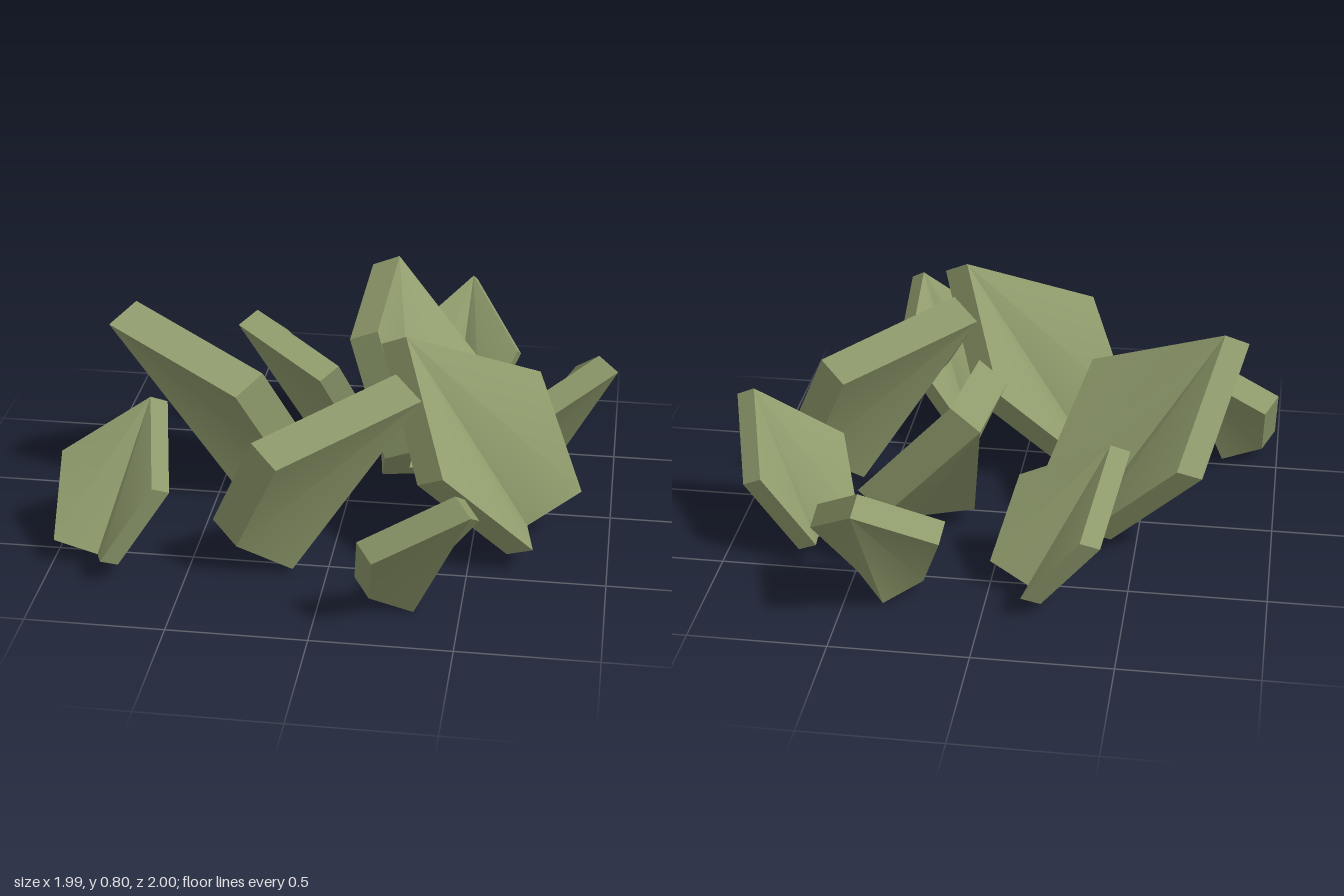
import * as THREE from 'three';
import { toCreasedNormals } from 'three/addons/utils/BufferGeometryUtils.js';

// Thick leaf folded along its midrib: x across, y from stem to tip, z out of the fold
function leafGeometry(thickness = 0.135) {
  const outline = [
    [0, 0.855, 0],          // tip
    [-0.334, 0.438, 0.142], // shoulder
    [-0.175, 0, 0.157],     // lower corner
    [0, 0, 0],              // stem end of the midrib
    [0.175, 0, 0.157],
    [0.334, 0.438, 0.142],
  ];
  const positions = [];
  const point = (i, back) => {
    const [x, y, z] = outline[i % 6];
    return [x, y, z - (back ? thickness : 0)];
  };
  // upper and under faces
  for (const [a, b, c] of [[0, 1, 2], [0, 2, 3], [0, 3, 4], [0, 4, 5]]) {
    positions.push(...point(a), ...point(b), ...point(c));
    positions.push(...point(a, true), ...point(c, true), ...point(b, true));
  }
  // rim
  for (let i = 0; i < 6; i++) {
    const a = point(i), b = point(i + 1), c = point(i + 1, true), d = point(i, true);
    positions.push(...a, ...d, ...c, ...a, ...c, ...b);
  }
  const geometry = new THREE.BufferGeometry();
  geometry.setAttribute('position', new THREE.Float32BufferAttribute(positions, 3));
  return toCreasedNormals(geometry, THREE.MathUtils.degToRad(34));
}

// Each leaf: tip, stem point, direction the fold opens toward
const largeLeaves = [
  { tip: [0.24, 0.80, 0.52], stem: [-0.22, 0.08, 0.49], open: [-0.10, 0.06, -0.07] },
  { tip: [-0.79, 0.80, 0.02], stem: [-0.33, 0.08, -0.07], open: [0.09, 0.065, -0.08] },
  { tip: [0.12, 0.76, -0.62], stem: [0.23, 0.13, -0.06], open: [0.10, 0.06, 0.04] },
  { tip: [0.24, 0.80, 0.21], stem: [0.70, 0.08, 0.24], open: [0.10, 0.06, 0.07] },
];
const smallLeaves = [
  { tip: [-0.67, 0.57, 0.35], stem: [-0.83, 0.05, 0.61], open: [-0.045, 0.045, 0.065] },
  { tip: [-0.42, 0.57, -0.46], stem: [-0.15, 0.05, -0.59], open: [0.068, 0.045, -0.05] },
  { tip: [0.39, 0.57, -0.92], stem: [0.35, 0.05, -0.62], open: [-0.01, 0.045, 0.08] },
  { tip: [0.92, 0.57, -0.21], stem: [0.67, 0.05, -0.36], open: [-0.075, 0.045, -0.038] },
  { tip: [0.49, 0.57, 0.94], stem: [0.28, 0.05, 0.71], open: [-0.055, 0.045, -0.055] },
];

export function createModel() {
  const group = new THREE.Group();
  group.name = 'leafCluster';
  const leafGreen = new THREE.MeshStandardMaterial({ color: 0x929e6e });
  leafGreen.name = 'leafGreen';
  const geometry = leafGeometry();

  const addLeaf = (name, { tip, stem, open }, scale) => {
    const base = new THREE.Vector3(...stem);
    const along = new THREE.Vector3(...tip).sub(base).normalize();
    const out = new THREE.Vector3(...open);
    out.addScaledVector(along, -out.dot(along)).normalize();
    const across = along.clone().cross(out);
    const leaf = new THREE.Mesh(geometry, leafGreen);
    leaf.name = name;
    leaf.quaternion.setFromRotationMatrix(new THREE.Matrix4().makeBasis(across, along, out));
    leaf.position.copy(base);
    leaf.scale.setScalar(scale);
    group.add(leaf);
  };
  largeLeaves.forEach((leaf, i) => addLeaf(`largeLeaf${i + 1}`, leaf, 1));
  smallLeaves.forEach((leaf, i) => addLeaf(`smallLeaf${i + 1}`, leaf, 0.705));
  return group;
}
